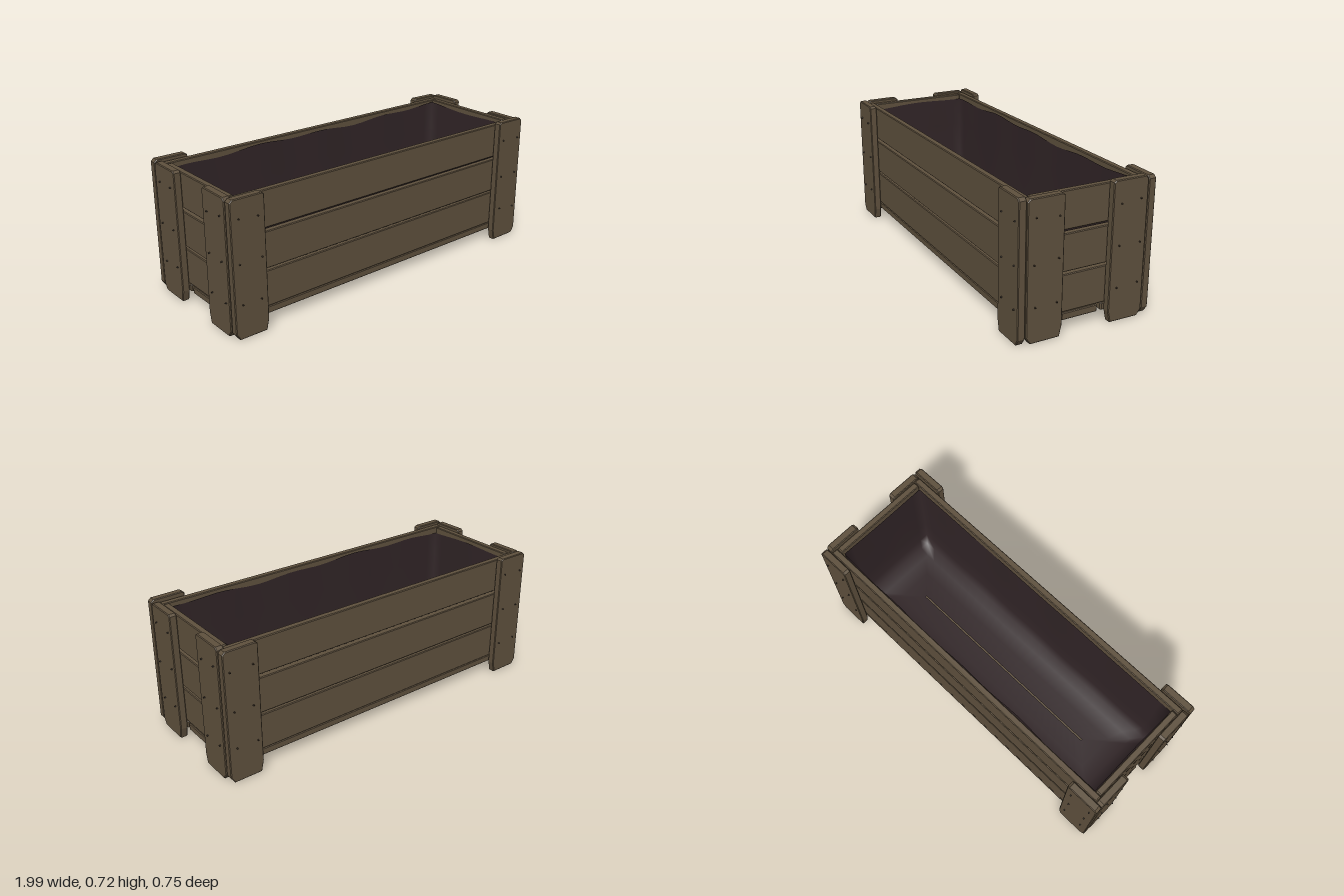
import * as THREE from 'three';

const wood = new THREE.MeshStandardMaterial({ color: 0x5e503d });
wood.name = 'weathered wood';
const cloth = new THREE.MeshStandardMaterial({ color: 0x302426, side: THREE.DoubleSide });
cloth.name = 'dark liner';
const iron = new THREE.MeshStandardMaterial({ color: 0x3a3026 });
iron.name = 'nail iron';

// Small seeded generator for hand-cut irregularity
let seed = 7;
const jitter = (a) => {
  seed = (seed * 16807) % 2147483647;
  return (seed / 2147483647 - 0.5) * 2 * a;
};

// Bevelled plank centred on its origin; chips = cut corners [bl, br, tr, tl] as [dx, dy]
function board(name, w, h, t, chips = [], wobble = 0.002) {
  const b = 0.004;
  const x = w / 2 - b, y = h / 2 - b;
  const shape = new THREE.Shape();
  [[-1, -1], [1, -1], [1, 1], [-1, 1]].forEach(([sx, sy], i) => {
    const [dx, dy] = chips[i] || [0.004, 0.004];
    const cx = sx * (x - Math.abs(jitter(wobble))), cy = sy * (y - Math.abs(jitter(wobble)));
    const onSide = [cx, cy - sy * dy], onEnd = [cx - sx * dx, cy];
    const pts = sx * sy > 0 ? [onSide, onEnd] : [onEnd, onSide];
    pts.forEach(([px, py], k) => (i + k ? shape.lineTo(px, py) : shape.moveTo(px, py)));
  });
  shape.closePath();
  const geo = new THREE.ExtrudeGeometry(shape, {
    depth: t - 2 * b, bevelEnabled: true, bevelSize: b, bevelThickness: b, bevelSegments: 1,
  });
  geo.translate(0, 0, -t / 2 + b);
  const mesh = new THREE.Mesh(geo, wood);
  mesh.name = name;
  return mesh;
}

const nailGeo = new THREE.CylinderGeometry(0.003, 0.005, 0.012, 6);
function nail(x, y, z) {
  const m = new THREE.Mesh(nailGeo, iron);
  m.name = 'nail';
  m.rotation.x = Math.PI / 2;
  m.position.set(x, y, z);
  return m;
}

// One wall: three slats and two upright corner boards, facing +z before rotation
function wall({ name, angle, slatWidth, slatZ, postX, postWidth, postZ, tops }) {
  const g = new THREE.Group();
  g.name = name;
  [[0.1, 0.294], [0.304, 0.497], [0.513, 0.705]].forEach(([y0, y1]) => {
    const s = board('slat', slatWidth, y1 - y0, 0.035);
    s.position.set(0, (y0 + y1) / 2, slatZ);
    g.add(s);
  });
  [-1, 1].forEach((side, i) => {
    const top = tops[i], h = top - 0.005;
    const inner = [0.012, 0.055], outer = [0.02, 0.03];
    const chips = side < 0
      ? [outer, inner, [0.01, 0.008], [0.012, 0.012]]
      : [inner, outer, [0.012, 0.012], [0.01, 0.008]];
    const p = board('cornerBoard', postWidth, h, 0.04, chips, 0.003);
    p.position.set(side * postX, 0.005 + h / 2, postZ);
    g.add(p);
    // Two columns of nails per board
    for (const y of [0.19, 0.4, 0.615]) {
      for (const dx of [-0.055, 0.06]) {
        g.add(nail(side * postX + dx + jitter(0.008), y + jitter(0.008), postZ + 0.022));
      }
    }
  });
  g.rotation.y = angle;
  return g;
}

// Sagging liner: rectangular rings from the wavy rim down to a rounded floor
function liner() {
  const nx = 28, nz = 10, loop = [];
  for (let i = 0; i < nx; i++) loop.push([-1 + (2 * i) / nx, 1]);
  for (let i = 0; i < nz; i++) loop.push([1, 1 - (2 * i) / nz]);
  for (let i = 0; i < nx; i++) loop.push([1 - (2 * i) / nx, -1]);
  for (let i = 0; i < nz; i++) loop.push([-1, -1 + (2 * i) / nz]);
  const rings = [[0.68, 0], [0.52, 0.002], [0.3, 0.004], [0.19, 0.012], [0.14, 0.04], [0.118, 0.09], [0.112, 0.18], [0.112, 0.279]];
  const n = loop.length, pos = [], idx = [];
  rings.forEach(([y, inset], r) => {
    loop.forEach(([u, v]) => {
      const wave = Math.sin(u * 9 + v) * Math.cos(u * 4 - v * 2);
      const fold = r < 4 ? 0.004 * (1 + wave) : 0;
      pos.push(u * (0.908 - inset - fold), y + (r === 0 ? 0.014 * wave : 0), v * (0.283 - inset - fold));
    });
  });
  for (let r = 0; r < rings.length - 1; r++) {
    for (let i = 0; i < n; i++) {
      const a = r * n + i, b = r * n + ((i + 1) % n);
      idx.push(a, b, a + n, b, b + n, a + n);
    }
  }
  const geo = new THREE.BufferGeometry();
  geo.setAttribute('position', new THREE.Float32BufferAttribute(pos, 3));
  geo.setIndex(idx);
  geo.computeVertexNormals();
  const m = new THREE.Mesh(geo, cloth);
  m.name = 'liner';
  return m;
}

export function createModel() {
  seed = 7;
  const model = new THREE.Group();
  model.name = 'planterCrate';

  // Long walls
  const long = { slatWidth: 1.9, slatZ: 0.303, postX: 0.893, postWidth: 0.19, postZ: 0.345 };
  model.add(wall({ ...long, name: 'frontWall', angle: 0, tops: [0.72, 0.725] }));
  model.add(wall({ ...long, name: 'backWall', angle: Math.PI, tops: [0.718, 0.722] }));

  // End walls
  const end = { slatWidth: 0.57, slatZ: 0.928, postX: 0.225, postWidth: 0.195, postZ: 0.968 };
  model.add(wall({ ...end, name: 'leftEnd', angle: Math.PI / 2, tops: [0.713, 0.725] }));
  model.add(wall({ ...end, name: 'rightEnd', angle: -Math.PI / 2, tops: [0.715, 0.72] }));

  // Lengthwise floor boards with nails underneath
  for (const [z0, z1] of [[-0.32, -0.11], [-0.095, 0.11], [0.122, 0.32]]) {
    const f = board('floorBoard', 1.9, z1 - z0, 0.038);
    f.rotation.x = -Math.PI / 2;
    f.position.set(0, 0.08, (z0 + z1) / 2);
    model.add(f);
    for (const x of [-0.92, 0.92]) {
      for (const dz of [-0.06, 0.06]) {
        const k = nail(x, 0.059, (z0 + z1) / 2 + dz);
        k.rotation.x = Math.PI;
        model.add(k);
      }
    }
  }

  model.add(liner());
  return model;
}
